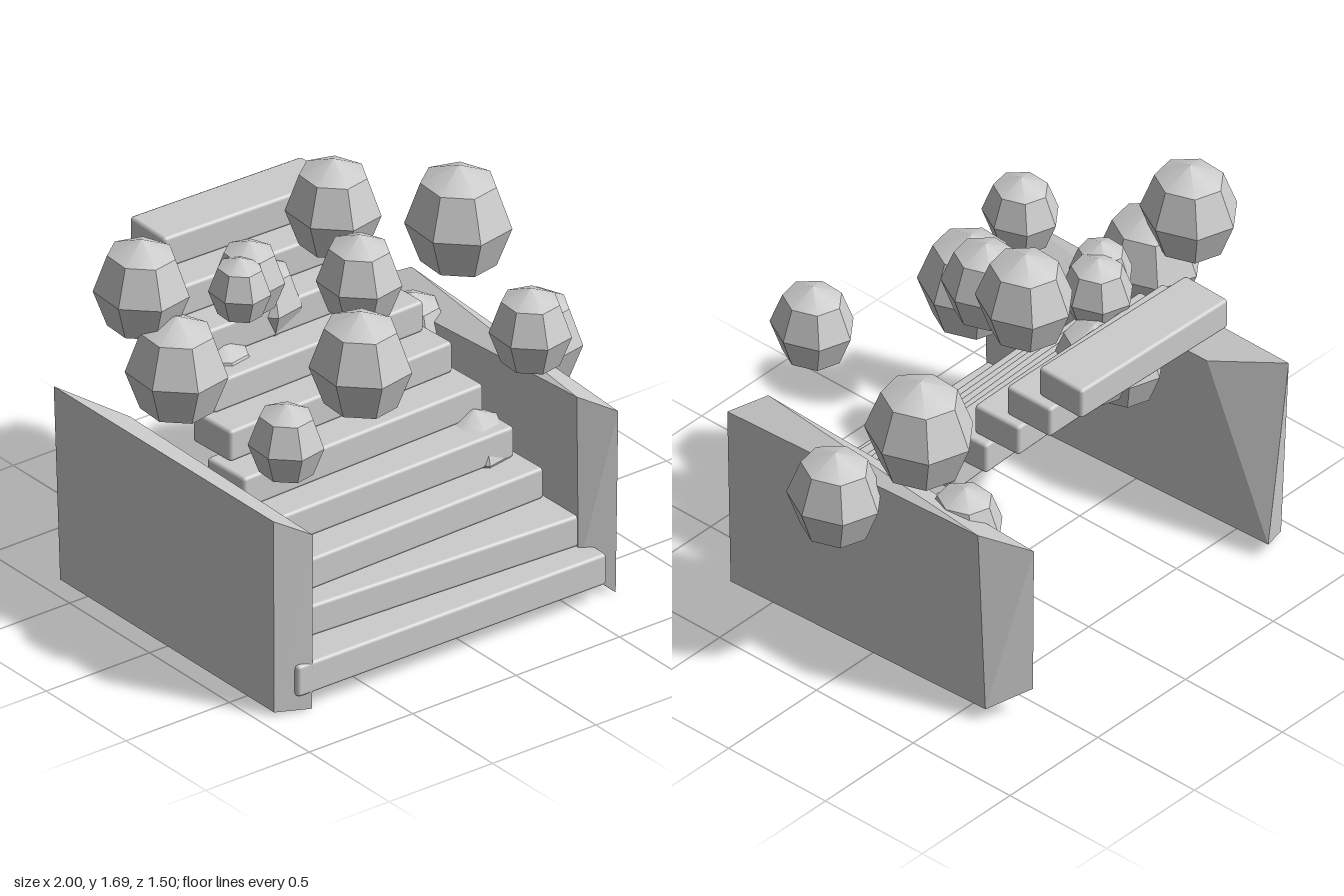
import * as THREE from 'three';
import { toCreasedNormals } from 'three/addons/utils/BufferGeometryUtils.js';
import { RoundedBoxGeometry } from 'three/addons/geometries/RoundedBoxGeometry.js';

const stone = new THREE.MeshStandardMaterial({ color: 0xcccccc });
stone.name = 'pale grey';

function addMesh(parent, name, geometry) {
  const mesh = new THREE.Mesh(geometry, stone);
  mesh.name = name;
  parent.add(mesh);
  return mesh;
}

// Box whose eight corners are moved; corners run over x, then y, then z (low before high)
function skewedBox(corners) {
  const geo = new THREE.BoxGeometry(2, 2, 2);
  const p = geo.attributes.position;
  for (let i = 0; i < p.count; i++) {
    const k = (p.getX(i) > 0 ? 4 : 0) + (p.getY(i) > 0 ? 2 : 0) + (p.getZ(i) > 0 ? 1 : 0);
    p.setXYZ(i, ...corners[k]);
  }
  const flat = geo.toNonIndexed();
  flat.computeVertexNormals();
  return flat;
}

export function createModel() {
  const model = new THREE.Group();
  model.name = 'staircase';

  // Ten bevelled steps, narrowing upward, each turned a little
  const steps = new THREE.Group();
  steps.name = 'steps';
  model.add(steps);
  const slopes = [0.003, 0.045, -0.03, -0.024, -0.035, -0.045, -0.03, -0.02, 0.0, 0.025];
  slopes.forEach((slope, i) => {
    const width = 1.49 - i * 0.075;
    const step = addMesh(steps, 'step', new RoundedBoxGeometry(width, 0.135, 0.226, 1, 0.014));
    step.position.set(-0.107, 0.145 + i * 0.134, 0.63 - i * 0.1405);
    step.rotation.y = -slope;
  });

  // Uneven side walls
  addMesh(model, 'leftWall', skewedBox([
    [0.56, 0.13, -0.72], [0.58, 0.12, 0.64], [0.56, 0.79, -0.725], [0.58, 0.865, 0.63],
    [0.71, 0.06, -0.61], [0.706, 0.005, 0.71], [0.708, 0.87, -0.57], [0.703, 0.805, 0.73],
  ]));
  addMesh(model, 'rightWall', skewedBox([
    [-0.93, 0.02, -0.65], [-0.93, 0.02, 0.69], [-0.93, 0.845, -0.69], [-0.93, 0.85, 0.685],
    [-0.785, 0.07, -0.715], [-0.785, 0.01, 0.74], [-0.785, 0.79, -0.4], [-0.785, 0.77, 0.745],
  ]));

  // Seven-sided foliage balls: x, y, z, half height
  const ballGeo = toCreasedNormals(new THREE.SphereGeometry(1, 7, 4, Math.PI), Math.PI / 6);
  const balls = [
    [-0.83, 1.42, -0.27, 0.215], [-0.79, 1.13, -0.1, 0.23], [-0.74, 1.06, 0.52, 0.17],
    [0.43, 1.165, 0.535, 0.185], [-0.21, 1.13, 0.3, 0.23], [-0.035, 1.343, 0.065, 0.192],
    [0.075, 1.483, -0.24, 0.215], [0.7, 1.21, -0.265, 0.24], [0.82, 0.8, 0.065, 0.21],
    [0.44, 0.49, 0.17, 0.17], [0.55, 0.735, -0.36, 0.17], [0.42, 0.54, -0.18, 0.16],
    [-0.45, 0.9, -0.27, 0.18], [-0.17, 1.11, -0.37, 0.18], [-0.42, 1.315, -0.185, 0.14],
    [-0.32, 1.305, -0.255, 0.16],
  ];
  const foliage = new THREE.Group();
  foliage.name = 'foliage';
  model.add(foliage);
  balls.forEach(([x, y, z, r]) => {
    const ball = addMesh(foliage, 'foliageBall', ballGeo);
    ball.position.set(x, y, z);
    ball.scale.set(r * 0.86, r, r * 0.94);
    ball.rotation.y = -0.06;
  });
  return model;
}
